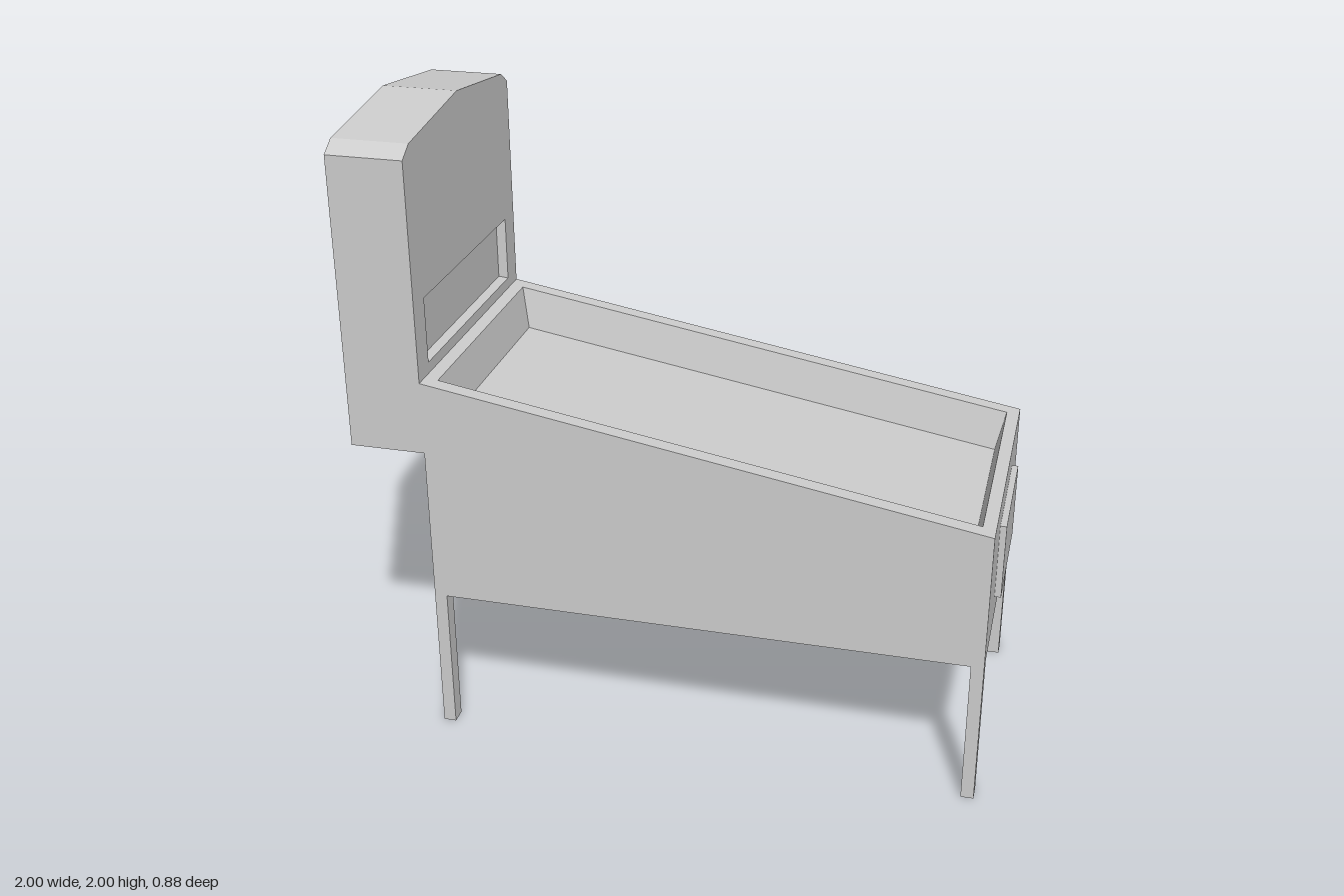
import * as THREE from 'three';

const material = new THREE.MeshStandardMaterial({ color: 0xcccccc, flatShading: true });
const HALF = 0.442; // half width of the machine
const BACK = -0.76, FRONT = 0.98, BOTTOM = 0.48;

// Skin between successive four-cornered loops, with a cap on the last (and optionally first) loop
function loft(loops, capFirst) {
  const pos = [];
  const quad = (a, b, c, d) => [a, b, c, a, c, d].forEach(p => pos.push(...p));
  for (let k = 0; k + 1 < loops.length; k++) {
    const a = loops[k], b = loops[k + 1];
    for (let i = 0; i < 4; i++) {
      const j = (i + 1) % 4;
      quad(a[i], a[j], b[j], b[i]);
    }
  }
  quad(...loops[loops.length - 1]);
  if (capFirst) quad(...[...loops[0]].reverse());
  const g = new THREE.BufferGeometry();
  g.setAttribute('position', new THREE.Float32BufferAttribute(pos, 3));
  g.computeVertexNormals();
  return g;
}

// Loop seen from above, its height given by a function of x
const plan = (x0, x1, hz, y) =>
  [[x0, y(x0), hz], [x1, y(x1), hz], [x1, y(x1), -hz], [x0, y(x0), -hz]];
// Upright loop facing +x
const upright = (x, y0, y1, hz) => [[x, y0, hz], [x, y0, -hz], [x, y1, -hz], [x, y1, hz]];

// Extrude a shape drawn in (z, y) along x
function extrudeX(shape, x0, x1) {
  return new THREE.ExtrudeGeometry(shape, { depth: x1 - x0, bevelEnabled: false })
    .rotateY(Math.PI / 2).translate(x0, 0, 0);
}

export function createModel() {
  const model = new THREE.Group();
  const add = (name, geometry, parent = model) => {
    const mesh = new THREE.Mesh(geometry, material);
    mesh.name = name;
    parent.add(mesh);
    return mesh;
  };

  // Cabinet with sloping top and sunken playfield
  const slope = x => 1.22 + (x - BACK) * (0.924 - 1.22) / (FRONT - BACK);
  const sunken = x => slope(x) - 0.13;
  add('cabinet', loft([
    plan(BACK, FRONT, HALF, () => BOTTOM),
    plan(BACK, FRONT, HALF, slope),
    plan(-0.72, 0.94, 0.392, slope),
    plan(-0.693, 0.912, 0.362, sunken),
  ], true));

  // Backbox: solid rear body and a front panel with an opening
  const backbox = new THREE.Group();
  backbox.name = 'backbox';
  model.add(backbox);
  const outline = () => new THREE.Shape([
    [-HALF, 0.985], [HALF, 0.985], [HALF, 1.915], [0.39, 1.95], [0, 2], [-0.39, 1.95], [-HALF, 1.915],
  ].map(p => new THREE.Vector2(...p)));
  add('backboxBody', extrudeX(outline(), -1, -0.795), backbox);
  const panel = outline();
  panel.holes.push(new THREE.Path([
    [-0.36, 1.255], [-0.36, 1.465], [0.36, 1.465], [0.36, 1.255],
  ].map(p => new THREE.Vector2(...p))));
  add('backboxPanel', extrudeX(panel, -0.795, BACK), backbox);

  // Tapered lining of the opening
  add('displayRecess', loft([
    upright(BACK, 1.255, 1.465, 0.36),
    upright(-0.79, 1.261, 1.459, 0.353),
  ], false), backbox);

  // Raised door on the front end
  add('coinDoor', new THREE.BoxGeometry(0.03, 0.248, 0.408).translate(0.985, 0.711, 0));

  // Four square legs at the corners
  for (const [end, x] of [['rear', BACK + 0.02], ['front', FRONT - 0.02]]) {
    for (const s of [1, -1]) {
      add(end + (s > 0 ? 'LeftLeg' : 'RightLeg'),
        new THREE.BoxGeometry(0.04, BOTTOM, 0.05).translate(x, BOTTOM / 2, s * (HALF - 0.025)));
    }
  }
  return model;
}
